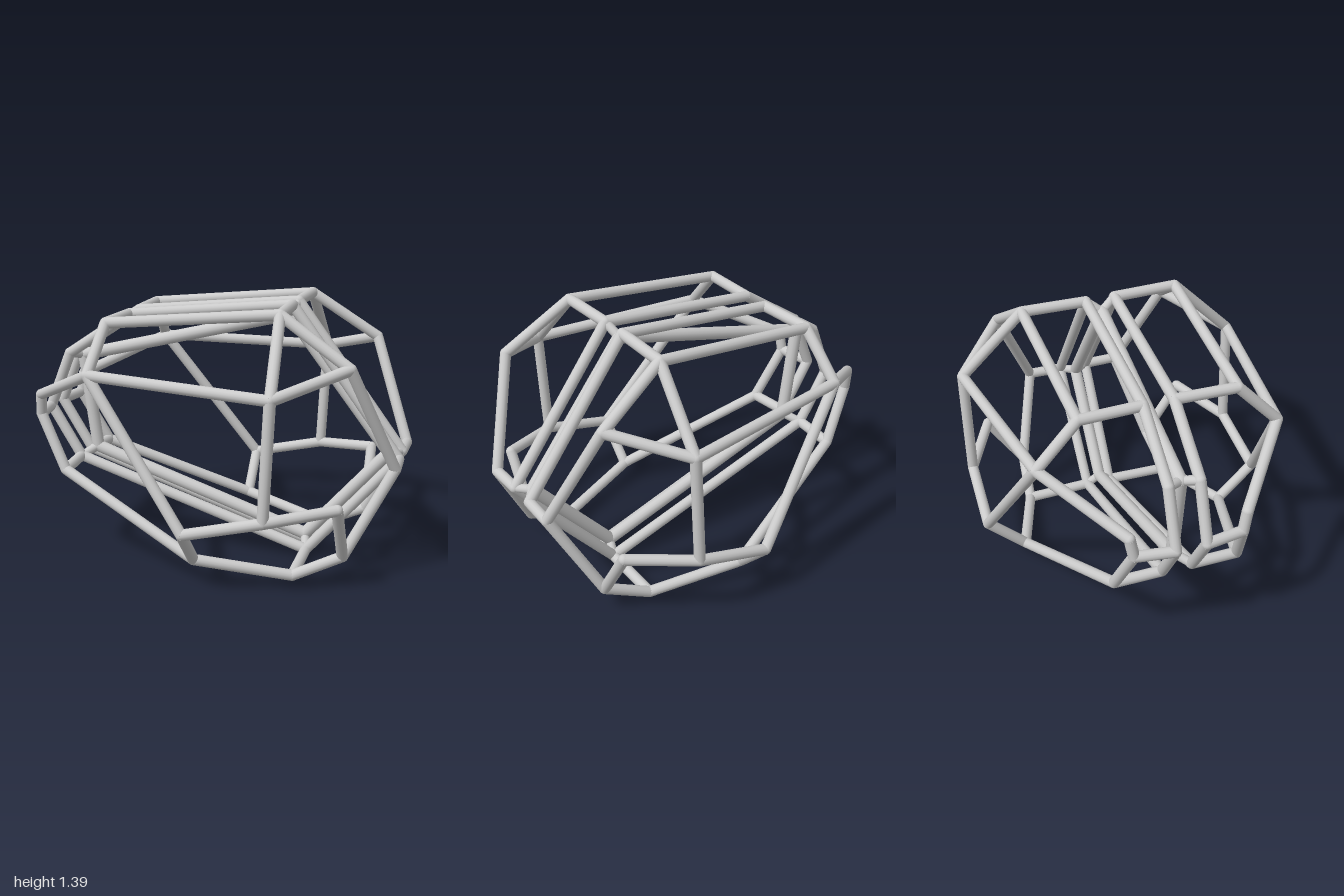
import * as THREE from 'three';

const material = new THREE.MeshStandardMaterial({ color: 0xcccccc });
const R = 0.029;

// Joints of one half of the cage (z > 0)
const joints = {
  // ring beside the centre groove
  ringTop: [0.39, 1.37, 0.08], ringCrown: [-0.5, 1.29, 0.08], ringRear: [-0.85, 1.06, 0.08],
  ringTail: [-0.97, 0.76, 0.08], ringLow: [-0.8, 0.48, 0.08], ringBase: [0.48, 0.045, 0.07],
  ringNose: [0.96, 0.59, 0.08],
  // side of the shell
  top: [0.4, 1.37, 0.43], crown: [-0.51, 1.29, 0.41],
  sideFront: [0.43, 1.02, 0.77], sideRear: [-0.53, 1.06, 0.63],
  cheek: [0.4, 0.42, 0.77], ear: [0, 0.33, 0.785],
  brow: [0.76, 1.13, 0.49], nose: [0.965, 0.59, 0.27],
  mouth: [0.73, 0.46, 0.6], chin: [0.73, 0.15, 0.4],
  jaw: [0.48, 0.035, 0.43], jawRear: [0, 0.13, 0.585],
  nape: [-0.79, 0.47, 0.33], tail: [-0.94, 0.76, 0.28], back: [-0.93, 0.87, 0.3],
};

// Corners of the groove between the halves
const groove = {
  ringTop: [0.36, 1.31, 0], ringRear: [-0.8, 1.04, 0], ringLow: [-0.73, 0.52, 0],
  ringBase: [0.46, 0.11, 0], ringNose: [0.9, 0.6, 0],
};

// Runs of bars, each a chain of joints
const chains = {
  innerRing: ['ringTop ringCrown ringRear ringTail ringLow ringBase ringNose ringTop'],
  crossBars: ['ringTop top', 'ringCrown crown', 'ringTail tail', 'ringLow nape',
    'ringBase jaw', 'ringNose nose'],
  sidePanel: ['top crown sideRear sideFront top', 'sideFront cheek ear sideRear'],
  browBars: ['top brow sideFront', 'brow nose'],
  cheekBars: ['cheek mouth chin', 'nose chin jaw'],
  lowerEdge: ['jaw jawRear nape tail back sideRear', 'ear jawRear'],
};

const vec = (p, side = 1) => new THREE.Vector3(p[0], p[1], p[2] * side);

function addJoint(group, p, r) {
  const ball = new THREE.Mesh(new THREE.SphereGeometry(r, 14, 10), material);
  ball.position.copy(p);
  ball.name = 'joint';
  group.add(ball);
}

function addBar(group, a, b, r = R) {
  const dir = b.clone().sub(a);
  const bar = new THREE.Mesh(new THREE.CylinderGeometry(r, r, dir.length(), 14), material);
  bar.position.copy(a).lerp(b, 0.5);
  bar.quaternion.setFromUnitVectors(new THREE.Vector3(0, 1, 0), dir.normalize());
  bar.name = 'bar';
  group.add(bar);
}

function buildHalf(name, side) {
  const half = new THREE.Group();
  half.name = name;
  for (const [part, runs] of Object.entries(chains)) {
    const group = new THREE.Group();
    group.name = part;
    for (const run of runs) {
      const pts = run.split(' ').map((key) => vec(joints[key], side));
      for (let i = 1; i < pts.length; i++) addBar(group, pts[i - 1], pts[i]);
    }
    half.add(group);
  }
  // rounded joints
  const balls = new THREE.Group();
  balls.name = 'joints';
  for (const p of Object.values(joints)) addJoint(balls, vec(p, side), R);
  half.add(balls);
  // short links into the groove
  const links = new THREE.Group();
  links.name = 'grooveLinks';
  for (const key of Object.keys(groove)) addBar(links, vec(joints[key], side), vec(groove[key]), 0.024);
  half.add(links);
  return half;
}

export function createModel() {
  const model = new THREE.Group();
  model.name = 'wireCage';
  model.add(buildHalf('leftHalf', 1), buildHalf('rightHalf', -1));

  // centre ring set inside the groove
  const centre = new THREE.Group();
  centre.name = 'centreRing';
  const pts = Object.values(groove).map((p) => vec(p));
  pts.forEach((p, i) => {
    addBar(centre, p, pts[(i + 1) % pts.length], 0.034);
    addJoint(centre, p, 0.034);
  });
  model.add(centre);
  return model;
}
